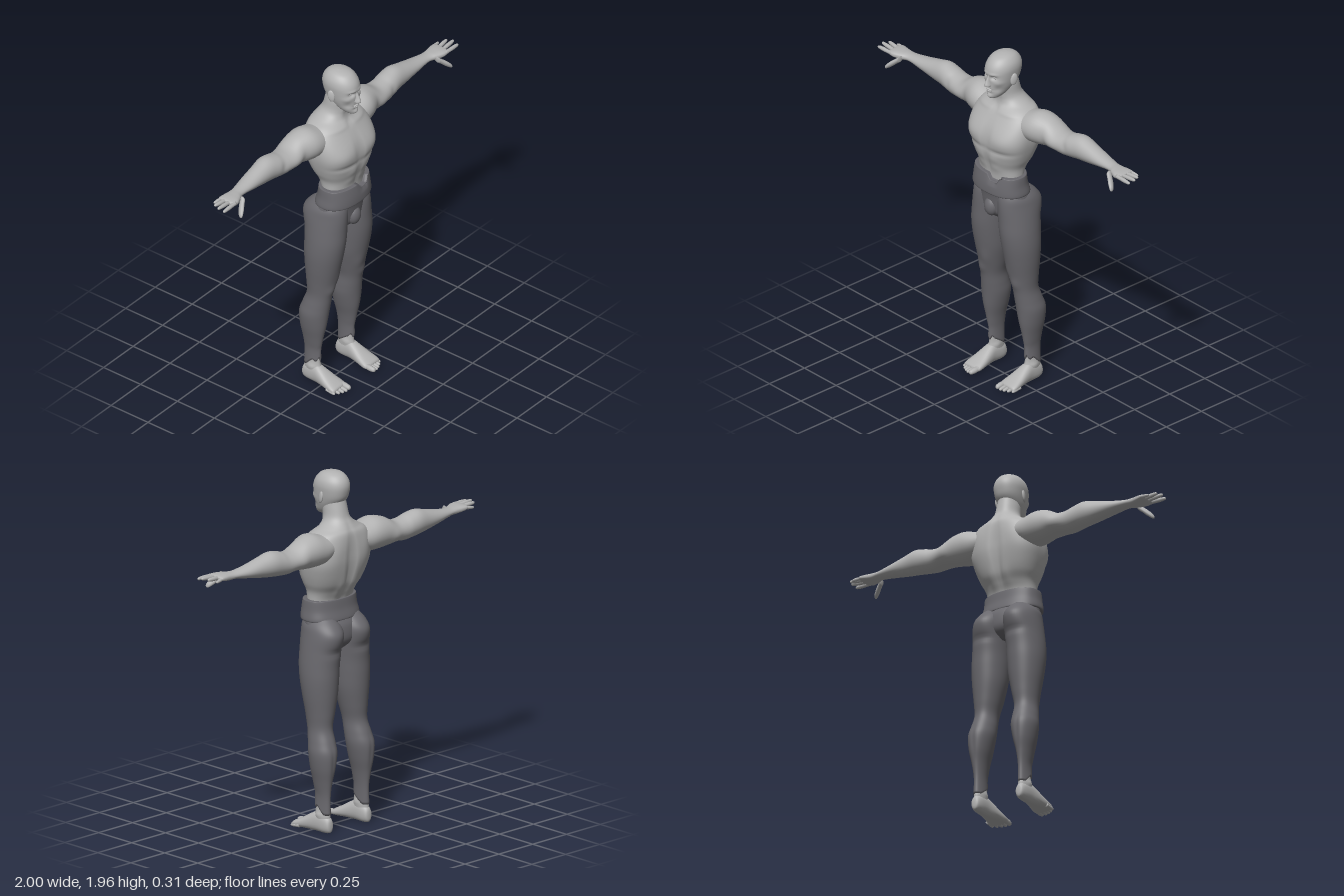
import * as THREE from 'three';

const skin = new THREE.MeshStandardMaterial({ color: 0xb2b2b2 });
skin.name = 'skin grey';
const cloth = new THREE.MeshStandardMaterial({ color: 0x69686d });
cloth.name = 'trouser grey';

const clamp01 = (v) => Math.min(1, Math.max(0, v));

// Smooth loft along one axis. Each key row is [t, aMin, aMax, bMin, bMax, power].
// Rings lie in xz (axis y), zy (axis x) or xy (axis z).
function loft(keys, { axis = 'y', segs = 24, steps = 4, bumps = [], warp, side = 1 } = {}) {
  const pos = [], index = [], p = new THREE.Vector3();
  const row = (i) => keys[Math.min(keys.length - 1, Math.max(0, i))];
  const put = (a, b, t) => (axis === 'y' ? p.set(a, t, b) : axis === 'x' ? p.set(t, b, a) : p.set(a, b, t));
  const rings = (keys.length - 1) * steps + 1;
  const caps = [];
  for (let r = 0; r < rings; r++) {
    const i = Math.min(keys.length - 2, Math.floor(r / steps)), f = r / steps - i;
    const v = [0, 1, 2, 3, 4, 5].map((c) => {
      const [k0, k1, k2, k3] = [-1, 0, 1, 2].map((o) => row(i + o)[c] ?? 2);
      return k1 + 0.5 * f * (k2 - k0 + f * (2 * k0 - 5 * k1 + 4 * k2 - k3 + f * (3 * (k1 - k2) + k3 - k0)));
    });
    const ca = (v[1] + v[2]) / 2, cb = (v[3] + v[4]) / 2;
    const centre = put(ca, cb, v[0]).clone();
    if (r === 0 || r === rings - 1) caps.push(centre);
    for (let s = 0; s < segs; s++) {
      const th = (s / segs) * Math.PI * 2, c = Math.cos(th), d = Math.sin(th);
      put(ca + Math.sign(c) * Math.abs(c) ** (2 / v[5]) * (v[2] - v[1]) / 2,
        cb + Math.sign(d) * Math.abs(d) ** (2 / v[5]) * (v[4] - v[3]) / 2, v[0]);
      // muscle bumps push the surface away from or towards the ring centre
      const out = p.clone().sub(centre).normalize();
      let push = 0;
      for (const [x, y, z, rx, ry, rz, amt] of bumps) {
        push += amt * Math.exp(-(((Math.abs(p.x) - x) / rx) ** 2) - ((p.y - y) / ry) ** 2 - ((p.z - z) / rz) ** 2);
      }
      p.addScaledVector(out, push);
      if (warp) warp(p);
      pos.push(p.x * side, p.y, p.z);
    }
  }
  for (let r = 0; r < rings - 1; r++) for (let s = 0; s < segs; s++) {
    const a = r * segs + s, b = r * segs + (s + 1) % segs;
    index.push(a, b, a + segs, b, b + segs, a + segs);
  }
  caps.forEach((c, e) => {
    const id = pos.length / 3, base = e * (rings - 1) * segs;
    pos.push(c.x * side, c.y, c.z);
    for (let s = 0; s < segs; s++) {
      const a = base + s, b = base + (s + 1) % segs;
      index.push(id, e ? a : b, e ? b : a);
    }
  });
  // make the faces point outward whatever the axis or mirroring
  let vol = 0;
  const A = new THREE.Vector3(), B = new THREE.Vector3(), C = new THREE.Vector3();
  for (let i = 0; i < index.length; i += 3) {
    A.fromArray(pos, index[i] * 3); B.fromArray(pos, index[i + 1] * 3); C.fromArray(pos, index[i + 2] * 3);
    vol += A.dot(B.cross(C));
  }
  if (vol < 0) index.reverse();
  const g = new THREE.BufferGeometry();
  g.setAttribute('position', new THREE.Float32BufferAttribute(pos, 3));
  g.setIndex(index);
  g.computeVertexNormals();
  return g;
}

// Rounded finger or toe: keys from a start to an end point
function digit(axis, from, to, r) {
  return [[0, 1], [0.3, 0.95], [0.55, 1], [0.82, 0.85], [0.95, 0.6], [1, 0.12]].map(([f, k]) => {
    const [x, y, z] = from.map((v, i) => v + (to[i] - v) * f), q = r * k;
    return axis === 'x' ? [x, z - q, z + q, y - q, y + q] : [z, x - q, x + q, y - q, y + q];
  });
}

export function createModel() {
  const model = new THREE.Group();
  const add = (name, geo, mat, parent = model) => {
    const m = new THREE.Mesh(geo, mat);
    m.name = name;
    parent.add(m);
    return m;
  };
  const ball = (name, [x, y, z], [sx, sy, sz], mat = skin) => {
    const m = add(name, new THREE.SphereGeometry(1, 20, 14), mat);
    m.position.set(x, y, z);
    m.scale.set(sx, sy, sz);
    return m;
  };
  const sym = ([y, w, zf, zb, n]) => [y, -w, w, zb, zf, n ?? 2];

  // Torso and neck
  add('torso', loft([
    [1.2, 0.14, 0.10, -0.06, 2.3], [1.26, 0.142, 0.105, -0.062, 2.3], [1.31, 0.148, 0.115, -0.085, 2.3],
    [1.36, 0.17, 0.13, -0.115, 2.4], [1.42, 0.19, 0.141, -0.135, 2.6], [1.48, 0.203, 0.14, -0.146, 2.8],
    [1.54, 0.205, 0.125, -0.148, 2.7], [1.60, 0.195, 0.092, -0.147, 2.5], [1.64, 0.165, 0.066, -0.142, 2.3],
    [1.665, 0.122, 0.05, -0.13], [1.69, 0.085, 0.046, -0.115], [1.72, 0.067, 0.05, -0.098],
    [1.77, 0.061, 0.058, -0.085], [1.81, 0.055, 0.05, -0.075]].map(sym), {
    segs: 72, steps: 6, bumps: [
      [0.1, 1.49, 0.13, 0.075, 0.05, 0.08, 0.012], [0.1, 1.42, 0.14, 0.09, 0.014, 0.07, -0.007],
      [0, 1.5, 0.14, 0.014, 0.09, 0.06, -0.008], [0, 1.34, 0.12, 0.012, 0.08, 0.06, -0.006],
      [0.05, 1.37, 0.12, 0.03, 0.025, 0.06, 0.004], [0.05, 1.31, 0.11, 0.03, 0.025, 0.06, 0.004],
      [0.09, 1.63, 0.06, 0.07, 0.012, 0.05, 0.006], [0, 1.64, 0.06, 0.016, 0.02, 0.04, -0.008],
      [0, 1.44, -0.14, 0.018, 0.2, 0.07, -0.018], [0.1, 1.55, -0.14, 0.05, 0.07, 0.06, 0.008],
      [0.04, 1.32, -0.09, 0.025, 0.07, 0.05, 0.008], [0.03, 1.72, 0.04, 0.012, 0.06, 0.03, 0.004],
    ],
  }), skin);

  // Head with brow, sockets, cheeks and jaw
  add('head', loft([
    [1.712, 0.016, 0.095, 0.05], [1.72, 0.03, 0.108, 0.025], [1.745, 0.049, 0.112, -0.02, 2.2],
    [1.78, 0.064, 0.114, -0.055, 2.2], [1.815, 0.073, 0.116, -0.083, 2.2], [1.85, 0.079, 0.118, -0.095, 2.2],
    [1.885, 0.082, 0.115, -0.099, 2.1], [1.915, 0.076, 0.102, -0.091], [1.94, 0.059, 0.078, -0.07],
    [1.953, 0.038, 0.048, -0.043], [1.959, 0.012, 0.015, -0.012]].map(sym), {
    segs: 72, steps: 6, bumps: [
      [0.03, 1.845, 0.11, 0.016, 0.011, 0.04, -0.014], [0.028, 1.864, 0.115, 0.024, 0.007, 0.04, 0.005],
      [0.05, 1.815, 0.085, 0.018, 0.016, 0.04, 0.005], [0.045, 1.775, 0.09, 0.016, 0.02, 0.04, -0.006],
      [0, 1.768, 0.115, 0.024, 0.003, 0.03, -0.004], [0, 1.748, 0.115, 0.02, 0.006, 0.03, -0.005],
      [0, 1.727, 0.11, 0.018, 0.012, 0.04, 0.006],
    ],
  }), skin);
  add('nose', loft([
    [1.862, -0.008, 0.008, 0.09, 0.118], [1.845, -0.008, 0.008, 0.09, 0.122], [1.82, -0.011, 0.011, 0.09, 0.134],
    [1.802, -0.016, 0.016, 0.09, 0.142], [1.793, -0.016, 0.016, 0.095, 0.137], [1.789, -0.008, 0.008, 0.1, 0.12]],
  { segs: 20 }), skin);
  ball('upperLip', [0, 1.772, 0.112], [0.022, 0.005, 0.01]);
  ball('lowerLip', [0, 1.762, 0.111], [0.019, 0.005, 0.01]);

  // Trousers: seat, groin and waistband
  add('trouserSeat', loft([
    [1.2, 0.158, 0.11, -0.07], [1.16, 0.168, 0.122, -0.09], [1.12, 0.174, 0.116, -0.11], [1.06, 0.165, 0.108, -0.115],
    [1.02, 0.12, 0.1, -0.1], [0.985, 0.05, 0.07, -0.06]].map(sym), { segs: 40 }), cloth);
  ball('groin', [0, 1.055, 0.095], [0.042, 0.055, 0.036], cloth);
  add('waistband', loft([
    [1.15, 0.165, 0.12, -0.085, 2.3], [1.154, 0.174, 0.137, -0.094, 2.3], [1.17, 0.175, 0.14, -0.092, 2.3],
    [1.21, 0.168, 0.137, -0.08, 2.3], [1.257, 0.164, 0.128, -0.073, 2.3], [1.264, 0.16, 0.124, -0.07, 2.3],
    [1.265, 0.148, 0.112, -0.062, 2.3]].map(sym), {
    segs: 64, // notch in the front of the top edge
    warp: (p) => { if (p.z > 0.05 && p.x > 0.01 && p.x < 0.085) p.y -= 0.032 * clamp01((p.y - 1.2) / 0.06); },
  }), cloth);

  for (const side of [1, -1]) {
    const label = side > 0 ? 'left' : 'right';
    const limb = (name, keys, opts, mat = skin) => add(label + name, loft(keys, { ...opts, side }), mat);

    const ear = ball(label + 'Ear', [side * 0.082, 1.825, 0.008], [0.009, 0.034, 0.02]);
    ear.rotation.set(-0.2, side * -0.35, 0);
    ball(label + 'Eye', [side * 0.031, 1.845, 0.092], [0.014, 0.009, 0.012]);

    // Arm from shoulder to knuckles: [x, zBack, zFront, yBottom, yTop]
    limb('Arm', [
      [0.09, -0.13, 0.02, 1.52, 1.63], [0.16, -0.147, 0.045, 1.49, 1.65], [0.23, -0.152, 0.045, 1.485, 1.668],
      [0.30, -0.149, 0.022, 1.492, 1.653], [0.37, -0.143, 0.012, 1.5, 1.617], [0.43, -0.138, 0.005, 1.493, 1.616],
      [0.48, -0.137, 0, 1.496, 1.63], [0.54, -0.135, -0.008, 1.503, 1.64], [0.61, -0.125, -0.013, 1.513, 1.624],
      [0.70, -0.113, -0.018, 1.53, 1.602], [0.79, -0.094, -0.022, 1.545, 1.588], [0.835, -0.09, -0.004, 1.546, 1.588, 2.4],
      [0.875, -0.094, 0.012, 1.55, 1.589, 2.6], [0.905, -0.095, 0.012, 1.558, 1.586, 2.6],
      [0.915, -0.085, 0.002, 1.564, 1.58]], {
      axis: 'x', segs: 36, steps: 5, bumps: [
        [0.31, 1.56, 0.02, 0.02, 0.05, 0.05, -0.006], [0.37, 1.55, 0.01, 0.04, 0.04, 0.04, 0.006],
        [0.34, 1.55, -0.14, 0.03, 0.04, 0.04, 0.005], [0.46, 1.57, 0, 0.02, 0.03, 0.04, -0.006],
      ],
    });
    [[0.003, 0.995, 1.572, 0.006], [-0.026, 1.0, 1.58, -0.028], [-0.054, 0.985, 1.578, -0.062], [-0.082, 0.952, 1.565, -0.092]]
      .forEach(([z0, x1, y1, z1], i) => limb('Finger' + (i + 1),
        digit('x', [0.89, 1.572, z0], [x1, y1, z1], i === 3 ? 0.0095 : 0.0115), { axis: 'x', segs: 12 }));
    limb('Thumb', digit('x', [0.825, 1.563, 0], [0.895, 1.502, 0.042], 0.018), { axis: 'x', segs: 14 });

    // Trouser leg: [y, xInner, xOuter, zBack, zFront]
    limb('TrouserLeg', [
      [1.17, 0.03, 0.15, -0.08, 0.1], [1.13, 0.006, 0.177, -0.125, 0.112], [1.08, 0.003, 0.189, -0.152, 0.115],
      [1.0, 0.004, 0.201, -0.137, 0.112], [0.92, 0.01, 0.21, -0.128, 0.109], [0.84, 0.016, 0.213, -0.126, 0.098],
      [0.75, 0.026, 0.207, -0.121, 0.08], [0.65, 0.048, 0.195, -0.112, 0.057], [0.57, 0.066, 0.189, -0.107, 0.041],
      [0.5, 0.066, 0.199, -0.13, 0.03], [0.44, 0.068, 0.207, -0.149, 0.022], [0.36, 0.084, 0.198, -0.146, 0.012],
      [0.28, 0.104, 0.181, -0.131, -0.004], [0.2, 0.114, 0.169, -0.121, -0.016], [0.11, 0.114, 0.171, -0.123, -0.016]], {
      segs: 48, steps: 5, bumps: [
        [0.1, 0.995, -0.14, 0.07, 0.02, 0.04, -0.009], [0.13, 0.61, 0.05, 0.03, 0.03, 0.03, 0.007],
        [0.09, 0.68, 0.06, 0.025, 0.05, 0.04, 0.006], [0.14, 0.4, -0.15, 0.012, 0.09, 0.04, -0.005],
      ],
      // hem rises and turns ragged towards the front
      warp: (p) => {
        const k = clamp01((0.24 - p.y) / 0.13), front = clamp01((p.z + 0.1) / 0.05);
        p.y += k * (0.05 * front + 0.012 * front * Math.sin(p.x * 260) - 0.008);
      },
    }, cloth);

    // Ankle, foot and toes
    limb('Ankle', [
      [0.22, 0.12, 0.163, -0.112, -0.024], [0.13, 0.117, 0.166, -0.116, -0.022], [0.09, 0.113, 0.171, -0.12, -0.012],
      [0.04, 0.115, 0.17, -0.12, 0]], { bumps: [[0.17, 0.1, -0.06, 0.02, 0.018, 0.02, 0.007], [0.115, 0.11, -0.055, 0.02, 0.018, 0.02, 0.007]] });
    limb('Foot', [
      [-0.131, 0.135, 0.15, 0.025, 0.05], [-0.124, 0.12, 0.164, 0.006, 0.08], [-0.095, 0.112, 0.172, 0, 0.1, 2.3],
      [-0.04, 0.108, 0.178, 0, 0.112, 2.2], [0, 0.101, 0.185, 0, 0.096, 2.2], [0.05, 0.091, 0.194, 0, 0.066, 2.3],
      [0.09, 0.086, 0.199, 0, 0.045, 2.5], [0.11, 0.09, 0.196, 0.004, 0.034, 2.4], [0.116, 0.1, 0.185, 0.01, 0.025]],
    { axis: 'z', segs: 28 });
    for (let i = 0; i < 5; i++) {
      const r = i ? 0.0115 - i * 0.0004 : 0.016, x = i ? 0.106 + i * 0.021 : 0.103;
      limb('Toe' + (i + 1), digit('z', [x, r + 0.006, 0.085 - i * 0.006], [x + 0.002, r, 0.156 - i * i * 0.0022], r),
        { axis: 'z', segs: 12 });
    }
  }
  return model;
}
